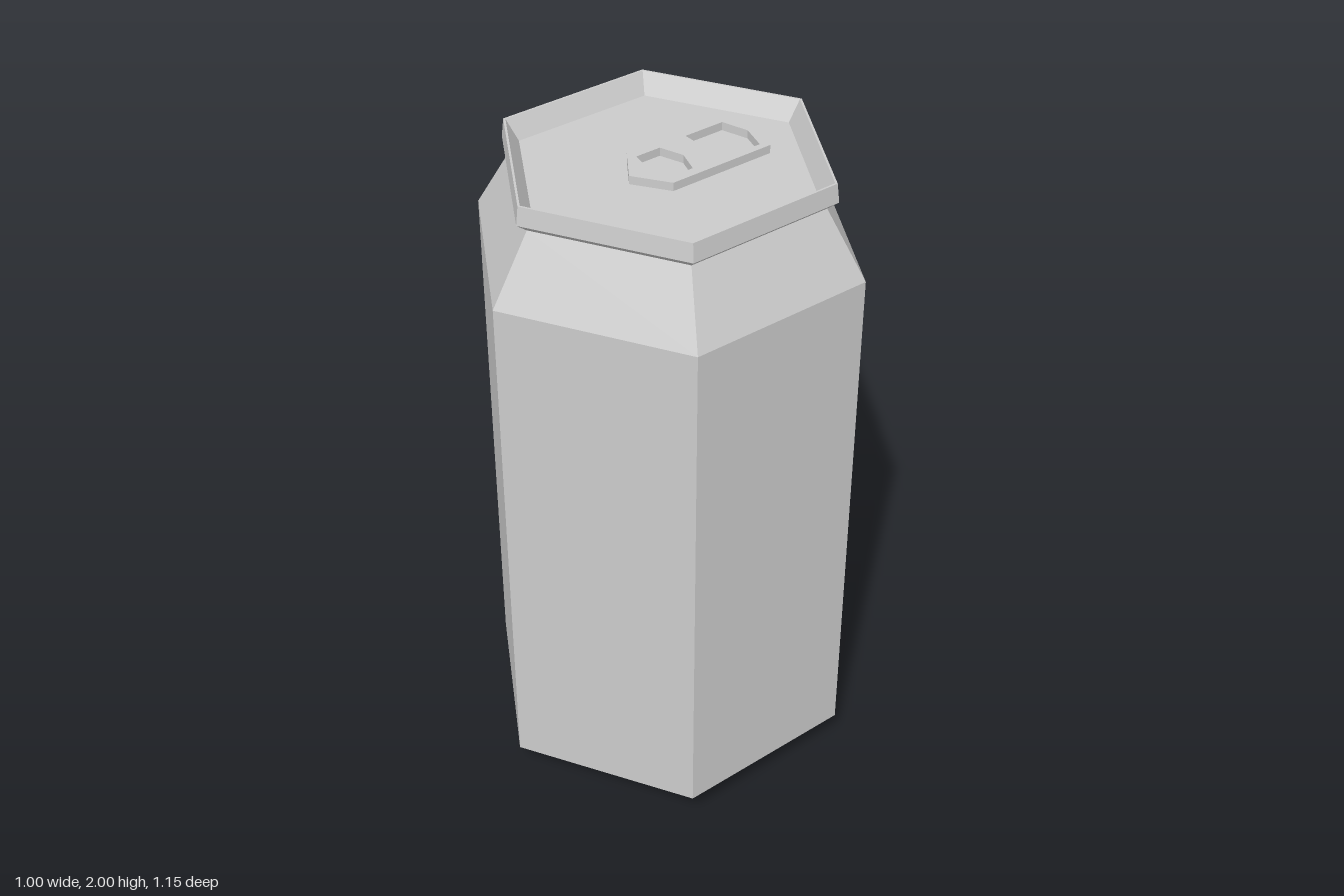
import * as THREE from 'three';

const material = new THREE.MeshStandardMaterial({ color: 0xcccccc, flatShading: true });

// Six-sided ring swept from [radius, y] points, corners on the z axis
function hexPart(name, profile) {
  const points = profile.map(([r, y]) => new THREE.Vector2(r, y));
  const mesh = new THREE.Mesh(new THREE.LatheGeometry(points, 6), material);
  mesh.name = name;
  return mesh;
}

// Symmetric outline from [x, z] points on the +x half, running front to back
function outline(half, Type) {
  const mirrored = half.filter(([x]) => x > 0).reverse().map(([x, z]) => [-x, z]);
  return new Type([...half, ...mirrored].map(([x, z]) => new THREE.Vector2(x, -z)));
}

function createPullTab() {
  const shape = outline([[0, 0.125], [0.102, 0.055], [0.102, -0.282], [0, -0.315]], THREE.Shape);
  // Finger opening at the front, wider opening at the back
  shape.holes.push(
    outline([[0, 0.062], [0.072, 0.045], [0.072, -0.035], [0, -0.06]], THREE.Path),
    outline([[0.081, -0.132], [0.081, -0.262], [0, -0.287]], THREE.Path)
  );
  const geometry = new THREE.ExtrudeGeometry(shape, { depth: 0.027, bevelEnabled: false });
  geometry.rotateX(-Math.PI / 2);
  const tab = new THREE.Mesh(geometry, material);
  tab.name = 'pullTab';
  tab.position.y = 1.938;
  return tab;
}

export function createModel() {
  const can = new THREE.Group();
  can.name = 'drinkCan';
  can.add(
    // Recessed underside and foot ring
    hexPart('underside', [[0, 0.04], [0.425, 0.04], [0.463, 0]]),
    hexPart('foot', [[0.463, 0], [0.463, 0.05]]),
    hexPart('lowerBevel', [[0.463, 0.05], [0.577, 0.1]]),
    // Main wall and tapered neck
    hexPart('body', [[0.577, 0.1], [0.577, 1.72]]),
    hexPart('shoulder', [[0.577, 1.72], [0.458, 1.92]]),
    // Flared rim with the sunken lid inside
    hexPart('rim', [[0.458, 1.92], [0.49, 1.945], [0.483, 2], [0.476, 2], [0.438, 1.94]]),
    hexPart('lid', [[0.438, 1.94], [0, 1.94]]),
    createPullTab()
  );
  return can;
}
